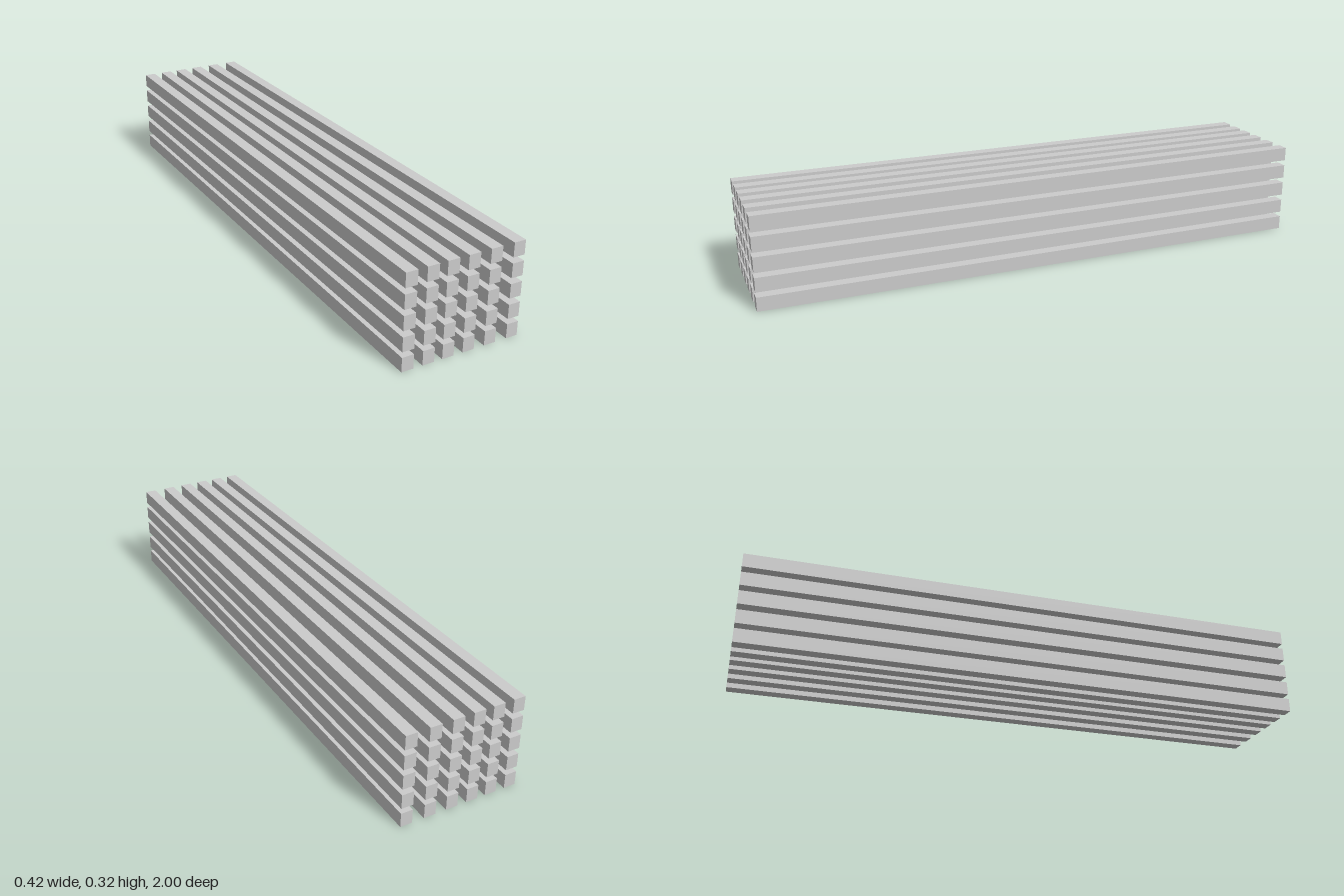
import * as THREE from 'three';

// Centres of the bar columns and rows, slightly uneven in spacing
const COLUMNS = [-0.189, -0.116, -0.0465, 0.027, 0.106, 0.189];
const ROWS = [0.0245, 0.092, 0.162, 0.231, 0.3];

export function createModel() {
  const model = new THREE.Group();
  model.name = 'barStack';
  const material = new THREE.MeshStandardMaterial({ color: 0xcccccc });
  const barGeometry = new THREE.BoxGeometry(0.041, 0.049, 2);

  // One group per layer, each holding a row of long parallel bars
  ROWS.forEach((y, row) => {
    const layer = new THREE.Group();
    layer.name = `layer${row + 1}`;
    layer.position.y = y;
    COLUMNS.forEach((x, column) => {
      const bar = new THREE.Mesh(barGeometry, material);
      bar.name = `bar${column + 1}`;
      bar.position.x = x;
      layer.add(bar);
    });
    model.add(layer);
  });

  return model;
}
